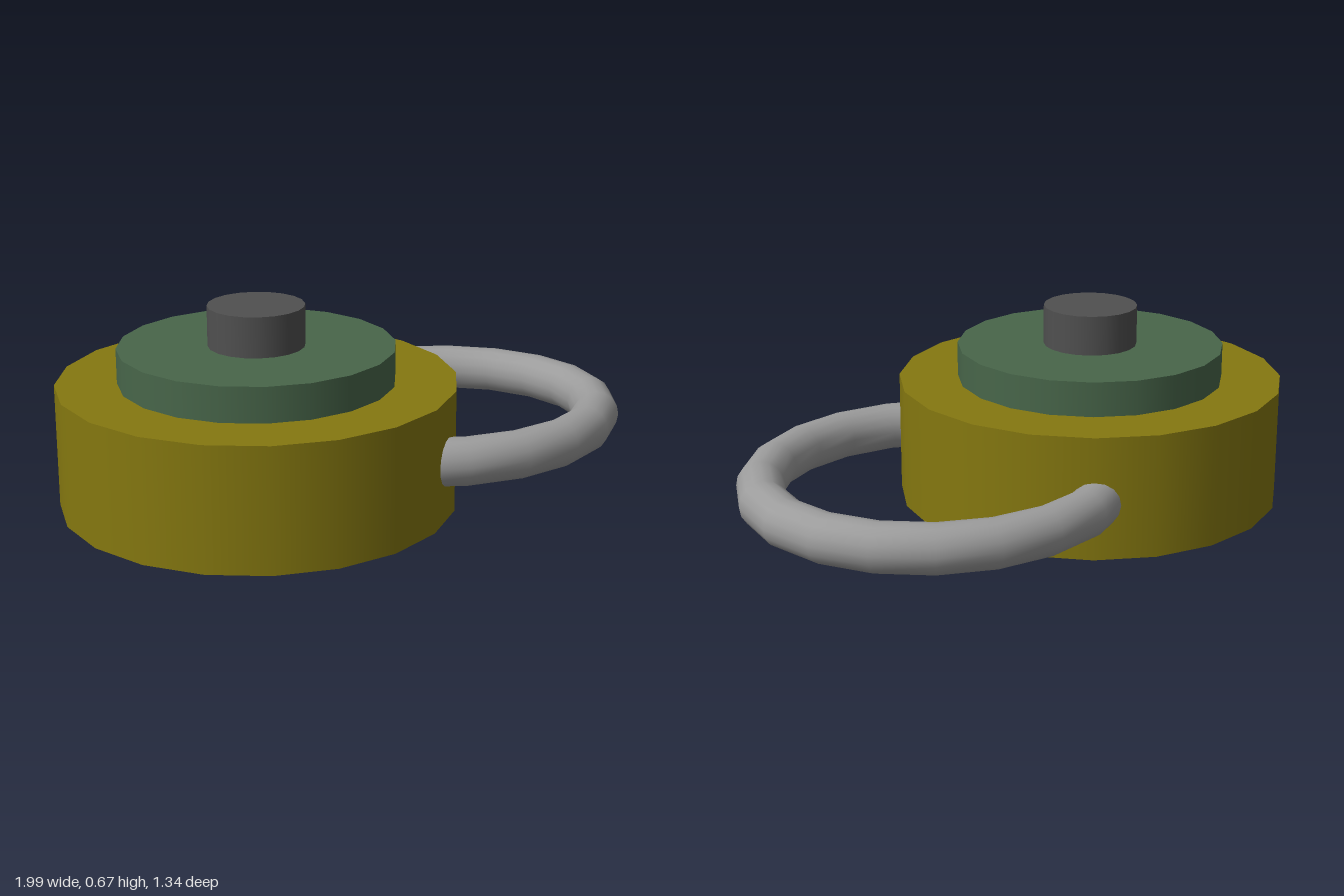
import * as THREE from 'three';

const SIDES = 20;

function paint(color) {
  return new THREE.MeshStandardMaterial({ color });
}

export function createModel() {
  const model = new THREE.Group();
  model.name = 'ringedCanister';

  // Stacked discs: drum, stepped lid and top knob
  const discs = [
    { name: 'drum', radius: 0.66, bottom: 0, top: 0.413, color: 0x857810 },
    { name: 'lid', radius: 0.457, bottom: 0.413, top: 0.53, color: 0x48664a },
    { name: 'knob', radius: 0.16, bottom: 0.53, top: 0.665, color: 0x505050 },
  ];
  for (const { name, radius, bottom, top, color } of discs) {
    const height = top - bottom;
    const disc = new THREE.Mesh(new THREE.CylinderGeometry(radius, radius, height, SIDES), paint(color));
    disc.name = name;
    disc.position.set(-0.34, bottom + height / 2, 0.005);
    model.add(disc);
  }

  // Slightly oval, tilted carrying ring passing through the drum
  const ringGeometry = new THREE.TorusGeometry(0.587, 0.08, 16, SIDES);
  ringGeometry.rotateX(-Math.PI / 2);
  ringGeometry.rotateY(0.08);
  ringGeometry.scale(1, 1, 0.925);
  ringGeometry.rotateX(-0.0165);
  const ring = new THREE.Mesh(ringGeometry, paint(0x9c9c9c));
  ring.name = 'carryRing';
  ring.position.set(0.33, 0.191, -0.058);
  model.add(ring);

  return model;
}
